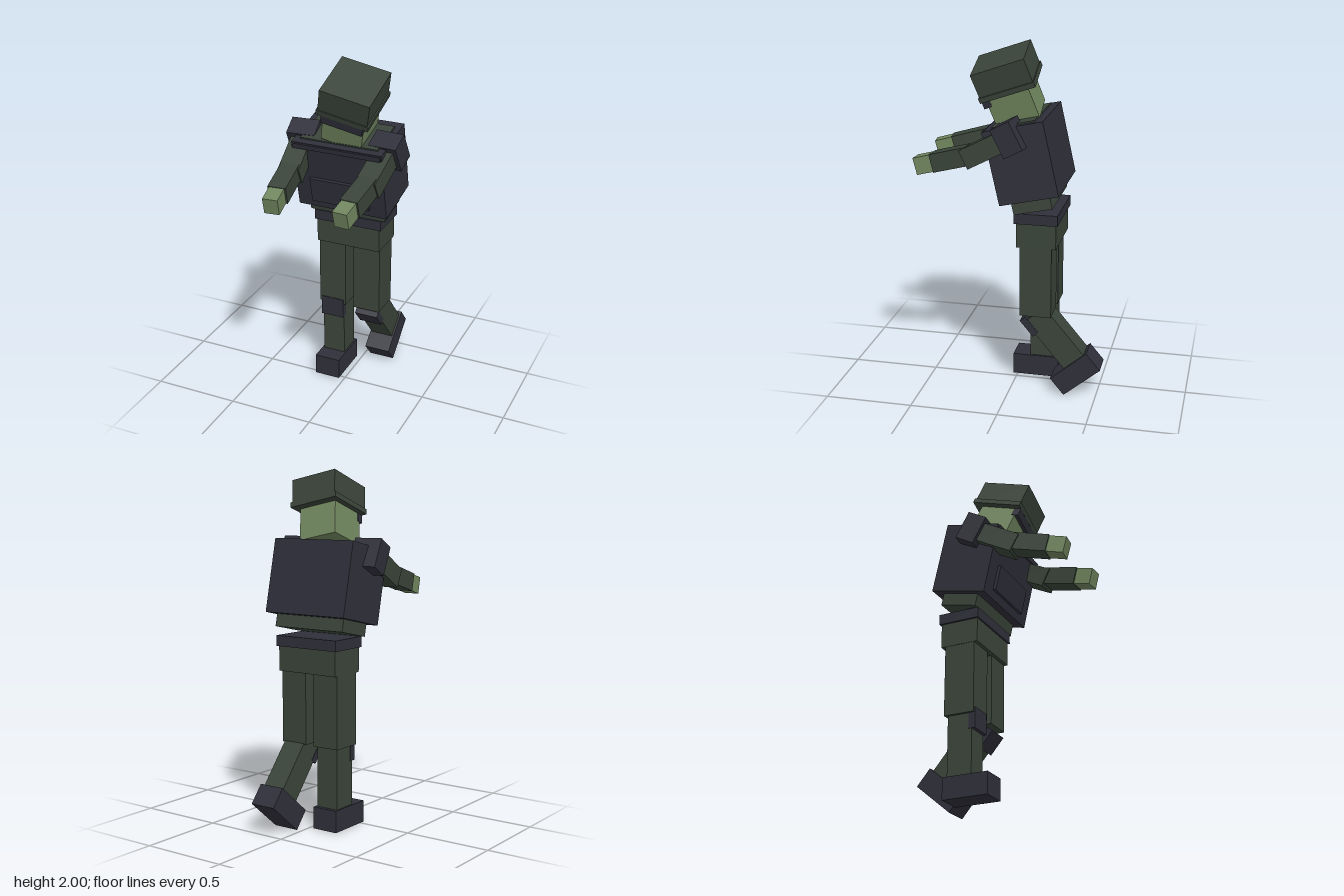
import * as THREE from 'three';

export function createModel() {
  const model = new THREE.Group();
  const mat = (name, color) => {
    const m = new THREE.MeshStandardMaterial({ color });
    m.name = name;
    return m;
  };
  const green = mat('fatigue green', 0x3a443a);
  const navy = mat('armour navy', 0x2f2f3a);
  const skin = mat('pale green skin', 0x71875f);
  const deg = THREE.MathUtils.degToRad;

  const box = (parent, name, material, size, pos) => {
    const mesh = new THREE.Mesh(new THREE.BoxGeometry(...size), material);
    mesh.name = name;
    mesh.position.set(...pos);
    parent.add(mesh);
    return mesh;
  };
  const group = (parent, name, pos, rot = [0, 0, 0], order = 'XYZ') => {
    const g = new THREE.Group();
    g.name = name;
    g.position.set(...pos);
    g.rotation.set(...rot.map(deg), order);
    parent.add(g);
    return g;
  };

  // Hips and belt
  box(model, 'hips', green, [0.386, 0.15, 0.225], [0, 0.955, -0.152]);
  box(model, 'belt', navy, [0.41, 0.06, 0.245], [0, 1.05, -0.152]);

  // Legs: left one is bent back at the knee
  for (const [side, s, bend] of [['left', 1, 40], ['right', -1, 0]]) {
    const leg = group(model, side + 'Leg', [s * 0.108, 0.47, -0.15]);
    box(leg, side + 'Thigh', green, [0.164, 0.43, 0.18], [0, 0.215, 0]);
    const lower = group(leg, side + 'LowerLeg', [0, 0, 0], [bend, 0, 0]);
    box(lower, side + 'Shin', green, [0.134, 0.38, 0.146], [0, -0.18, 0]);
    box(lower, side + 'KneePad', navy, [0.14, 0.12, 0.04], [0, -0.03, 0.074]);
    box(lower, side + 'Boot', navy, [0.154, 0.125, 0.27], [0, -0.4075, 0.04]);
  }

  // Torso leaning forward, with vest, collar rim and chest pouch
  const torso = group(model, 'torso', [0, 1.377, -0.082], [12.5, 0, 0]);
  box(torso, 'body', green, [0.46, 0.495, 0.22], [0, -0.033, 0]);
  box(torso, 'vest', navy, [0.534, 0.418, 0.335], [0, 0, 0]);
  box(torso, 'collarRim', navy, [0.52, 0.03, 0.012], [0, 0.19, 0.171]);
  box(torso, 'chestPouch', navy, [0.345, 0.15, 0.036], [0, -0.085, 0.168]);
  // Green shoulder yoke showing on top of the vest
  box(torso, 'shoulderYoke', green, [0.46, 0.008, 0.245], [0, 0.213, 0.005]);

  // Arms reaching forward and slightly inward; each segment points along +z
  for (const [side, s, yaw] of [['left', 1, 4.8], ['right', -1, 5.8]]) {
    const arm = group(model, side + 'Arm', [s * 0.251, 1.522, -0.024], [0, -s * yaw, 0]);
    const upper = group(arm, side + 'UpperArmJoint', [0, 0, 0], [28, 0, 0]);
    box(upper, side + 'ShoulderPad', navy, [0.164, 0.17, 0.117], [0, 0, 0]);
    box(upper, side + 'UpperArm', green, [0.118, 0.112, 0.29], [0, 0, 0.14]);
    const fore = group(arm, side + 'ForearmJoint', [0, -0.142, 0.336], [15, 0, 0]);
    box(fore, side + 'Forearm', green, [0.104, 0.103, 0.215], [0, 0, 0]);
    box(fore, side + 'Hand', skin, [0.086, 0.097, 0.105], [0, 0, 0.157]);
  }

  // Tilted head; the group origin is the crown of the helmet
  const head = group(model, 'head', [0.09, 1.918, 0.067], [19, 0, -13]);
  box(head, 'helmet', green, [0.285, 0.145, 0.308], [0, -0.0725, 0]);
  box(head, 'helmetBrim', green, [0.302, 0.03, 0.32], [0, -0.15, 0]);
  box(head, 'visor', navy, [0.24, 0.05, 0.045], [0, -0.188, 0.137]);
  box(head, 'face', skin, [0.235, 0.2, 0.245], [0, -0.25, 0.012]);

  return model;
}
